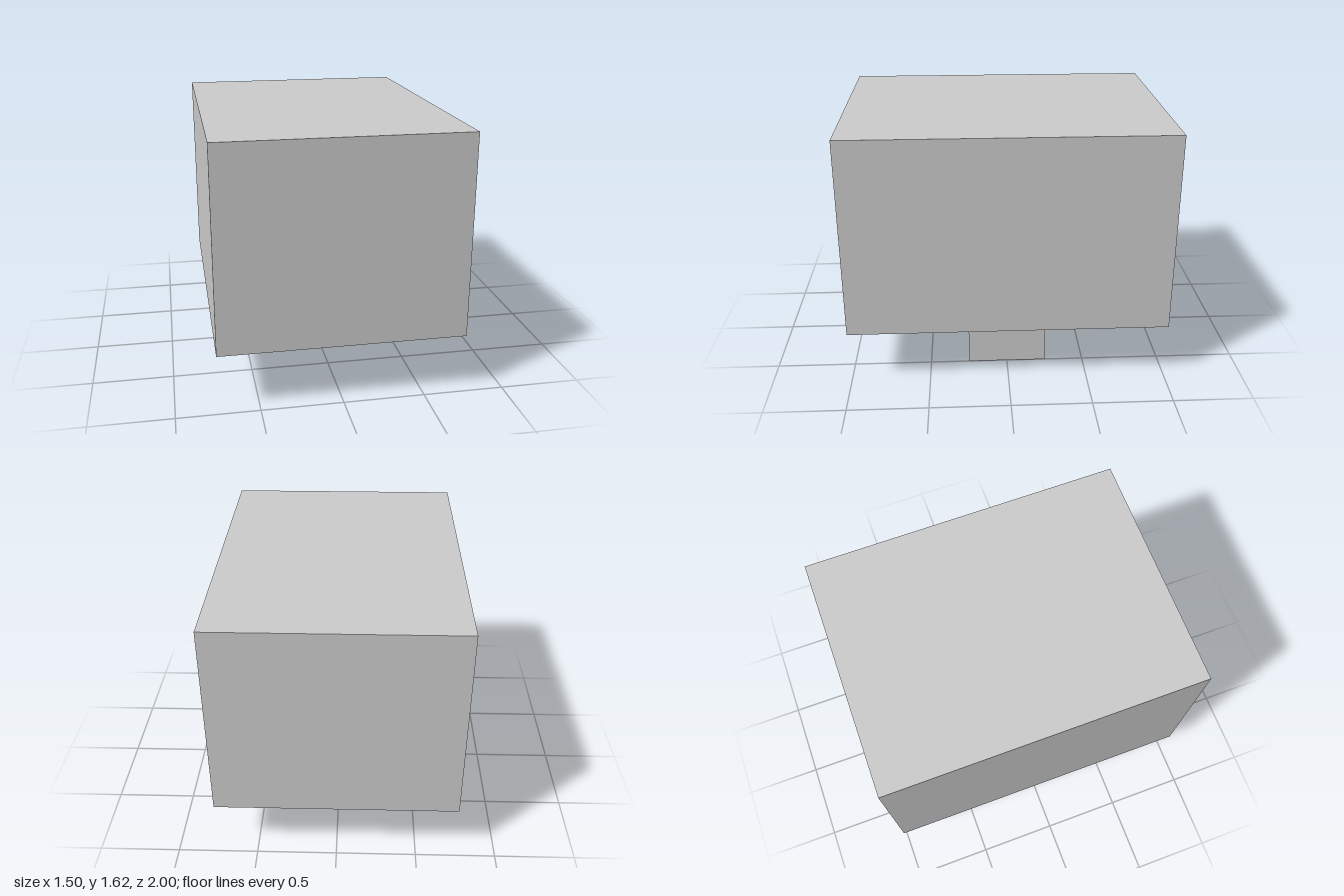
import * as THREE from 'three';

const material = new THREE.MeshStandardMaterial({ color: 0xcccccc, flatShading: true });

// Box given by its size and the centre of its base
function block(name, [w, h, d], [x, y, z]) {
  const mesh = new THREE.Mesh(new THREE.BoxGeometry(w, h, d), material);
  mesh.name = name;
  mesh.position.set(x, y + h / 2, z);
  return mesh;
}

export function createModel() {
  const model = new THREE.Group();
  model.name = 'blockOnFoot';
  const footHeight = 0.375;

  // Small off-centre foot carrying the large body
  model.add(block('foot', [0.5, footHeight, 0.5], [0.25, 0, 0]));
  model.add(block('body', [1.5, 1.25, 2], [0, footHeight, 0]));

  return model;
}
